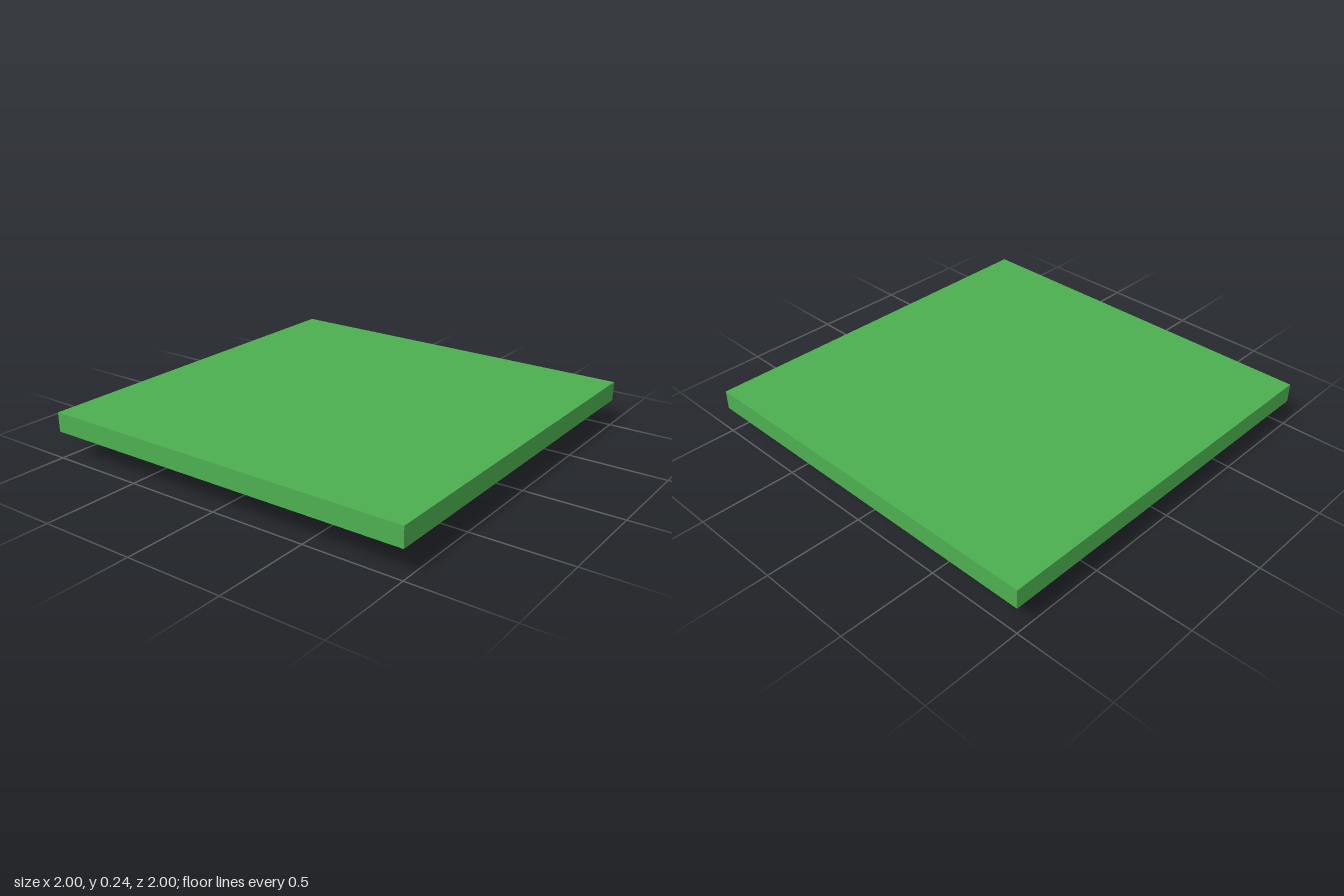
import * as THREE from 'three';
import { toCreasedNormals } from 'three/addons/utils/BufferGeometryUtils.js';

const FLOOR = 0.18; // underside of the panel inside the recess

// Rectangle x0..x1, z = -h..h, with corner radius rl at x0 and rr at x1
function outline(x0, x1, h, rl, rr, Type = THREE.Shape) {
  const s = new Type();
  s.moveTo(x0 + rl, -h);
  s.lineTo(x1 - rr, -h);
  if (rr) s.absarc(x1 - rr, -h + rr, rr, -Math.PI / 2, 0);
  s.lineTo(x1, h - rr);
  if (rr) s.absarc(x1 - rr, h - rr, rr, 0, Math.PI / 2);
  s.lineTo(x0 + rl, h);
  if (rl) s.absarc(x0 + rl, h - rl, rl, Math.PI / 2, Math.PI);
  s.lineTo(x0, -h + rl);
  if (rl) s.absarc(x0 + rl, -h + rl, rl, Math.PI, Math.PI * 1.5);
  s.closePath();
  return s;
}

// Upright ring from y0 to y1
function ring(outer, hole, y0, y1) {
  outer.holes.push(hole);
  const g = new THREE.ExtrudeGeometry(outer, { depth: y1 - y0, bevelEnabled: false, curveSegments: 10 });
  g.rotateX(-Math.PI / 2);
  g.translate(0, y0, 0);
  return g;
}

export function createModel() {
  const group = new THREE.Group();
  const green = new THREE.MeshStandardMaterial({ color: 0x4caf50 });
  const add = (name, geometry) => {
    const mesh = new THREE.Mesh(toCreasedNormals(geometry, 0.6), green);
    mesh.name = name;
    group.add(mesh);
  };

  // Square panel with a shallow rounded recess underneath
  const panel = new THREE.BoxGeometry(2, 0.24 - FLOOR, 2);
  panel.translate(0, (0.24 + FLOOR) / 2, 0);
  add('panel', panel);
  add('panelRim', ring(outline(-1, 1, 1, 0, 0), outline(-0.9, 0.9, 0.9, 0.1, 0.1, THREE.Path), 0.14, FLOOR));

  // Hollow wedge: its lower edge slopes down towards +x
  const wedge = ring(outline(0.19, 0.85, 0.85, 0, 0.07),
    outline(0.36, 0.81, 0.81, 0, 0.04, THREE.Path), 0, FLOOR);
  const p = wedge.attributes.position;
  for (let i = 0; i < p.count; i++) {
    if (p.getY(i) < 0.01) p.setY(i, 0.14 - (p.getX(i) - 0.33) * 0.14 / 0.52);
  }
  add('wedgeFrame', wedge);

  // Flat-bottomed block, rounded towards the wedge
  add('blockFrame', ring(outline(-0.81, 0.16, 0.85, 0, 0.1),
    outline(-0.8, 0.1, 0.79, 0, 0.07, THREE.Path), 0.03, FLOOR));

  // Sloping floor of the block's pocket
  const profile = new THREE.Shape([[-0.8, 0.03], [0.1, FLOOR], [-0.8, FLOOR]].map(([x, y]) => new THREE.Vector2(x, y)));
  const ramp = new THREE.ExtrudeGeometry(profile, { depth: 1.58, bevelEnabled: false });
  ramp.translate(0, 0, -0.79);
  add('pocketRamp', ramp);

  return group;
}
